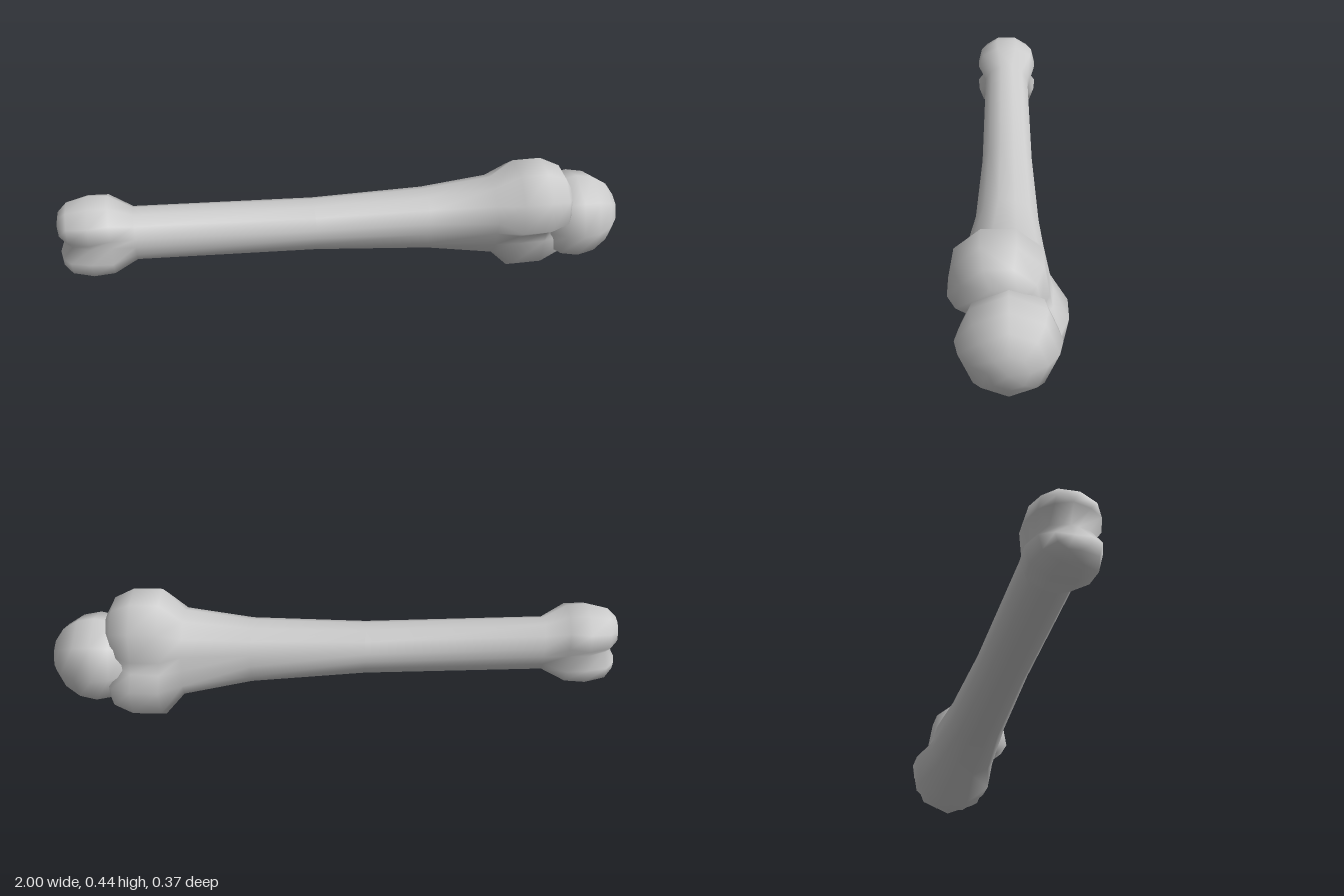
import * as THREE from 'three';
import { mergeVertices } from 'three/addons/utils/BufferGeometryUtils.js';

// Cross-sections along x, each made of an upper and a lower lobe with a waist between:
// x, centre y, lobe offset, lobe radius y, lobe radius z, waist half width,
// lobe sweep (degrees), lobe shift in z, waist shift in x
const SECTIONS = [
  [-1.0, 0.3, 0.055, 0, 0, 0, 100, 0, 0.035],
  [-0.99, 0.3, 0.055, 0.045, 0.055, 0.025, 100, 0, 0.03],
  [-0.96, 0.3, 0.055, 0.072, 0.097, 0.06, 100, 0, 0.01],
  [-0.89, 0.3, 0.055, 0.086, 0.119, 0.085, 100, 0, 0],
  [-0.82, 0.3, 0.055, 0.08, 0.115, 0.088, 95, 0, 0],
  [-0.74, 0.295, 0.01, 0.083, 0.088, 0.087, 75, 0, 0],
  [-0.12, 0.262, 0.01, 0.08, 0.092, 0.091, 75, 0, 0],
  [0.28, 0.243, 0.02, 0.09, 0.107, 0.106, 75, 0.003, 0],
  [0.52, 0.232, 0.045, 0.102, 0.13, 0.125, 85, 0.012, 0],
  [0.6, 0.221, 0.07, 0.157, 0.158, 0.14, 100, 0.03, 0],
  [0.7, 0.221, 0.07, 0.157, 0.158, 0.135, 100, 0.03, 0],
  [0.77, 0.221, 0.07, 0.122, 0.13, 0.09, 100, 0.03, -0.01],
  [0.8, 0.221, 0.07, 0.065, 0.07, 0.04, 100, 0.03, -0.02],
  [0.805, 0.221, 0.07, 0, 0, 0, 100, 0.03, -0.025],
];
const LOBE_POINTS = 6;

// One closed ring: upper lobe, waist on +z, lower lobe, waist on -z
function ring([x, cy, d, ry, rz, waist, sweep, dz, dx]) {
  const points = [];
  for (const s of [1, -1]) {
    for (let i = 0; i < LOBE_POINTS; i++) {
      const a = THREE.MathUtils.degToRad(sweep * ((2 * i) / (LOBE_POINTS - 1) - 1));
      points.push([x, cy + s * (d + ry * Math.cos(a)), s * (dz + rz * Math.sin(a))]);
    }
    points.push([x + dx, cy, s * waist]);
  }
  return points;
}

function loft(sections) {
  const rings = sections.map(ring);
  const n = rings[0].length;
  const index = [];
  for (let i = 0; i < rings.length - 1; i++) {
    for (let j = 0; j < n; j++) {
      const a = i * n + j;
      const b = i * n + ((j + 1) % n);
      index.push(a, b, a + n, b, b + n, a + n);
    }
  }
  const geometry = new THREE.BufferGeometry();
  geometry.setAttribute('position', new THREE.Float32BufferAttribute(rings.flat(2), 3));
  geometry.setIndex(index);
  const merged = mergeVertices(geometry, 1e-5);
  merged.computeVertexNormals();
  return merged;
}

export function createModel() {
  const group = new THREE.Group();
  group.name = 'bone';
  const material = new THREE.MeshStandardMaterial({ color: 0xcccccc });

  // Shaft with a small knuckled end and a large, twisted one
  const shaft = new THREE.Mesh(loft(SECTIONS), material);
  shaft.name = 'shaftAndKnuckles';
  group.add(shaft);

  // Ball at the large end, poles along x
  const ball = new THREE.Mesh(new THREE.SphereGeometry(0.161, 8, 8).rotateZ(-Math.PI / 2), material);
  ball.name = 'ball';
  ball.position.set(0.839, 0.202, 0);
  group.add(ball);

  return group;
}
